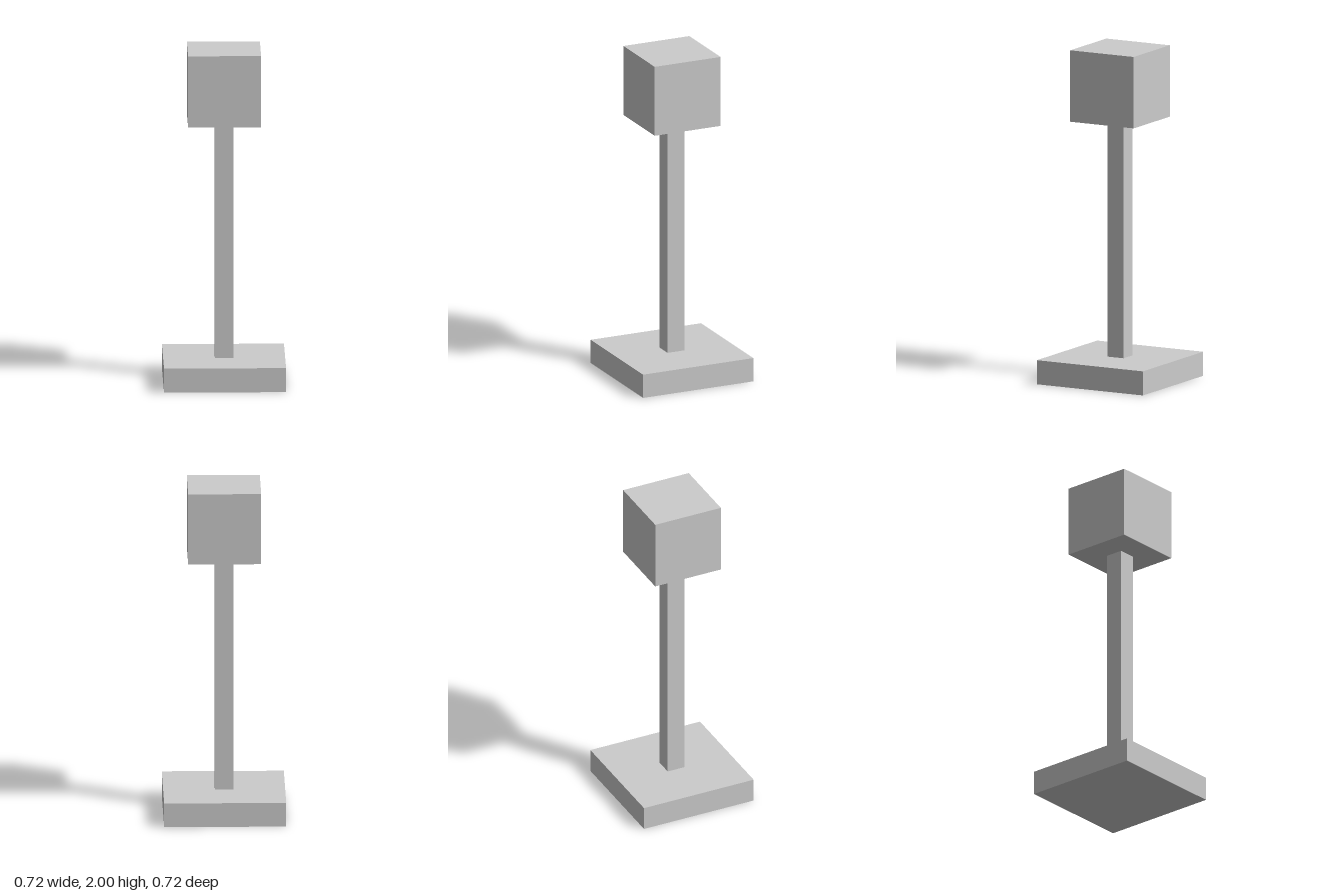
import * as THREE from 'three';

const material = new THREE.MeshStandardMaterial({ color: 0xcccccc, flatShading: true });

// Square block of the given width, spanning bottom to top
function block(name, width, bottom, top) {
  const mesh = new THREE.Mesh(new THREE.BoxGeometry(width, top - bottom, width), material);
  mesh.name = name;
  mesh.position.y = (bottom + top) / 2;
  return mesh;
}

export function createModel() {
  const group = new THREE.Group();
  group.name = 'postLamp';
  group.add(
    block('base', 0.722, 0, 0.145),
    block('post', 0.11, 0.145, 1.57),
    block('head', 0.432, 1.57, 2)
  );
  return group;
}
